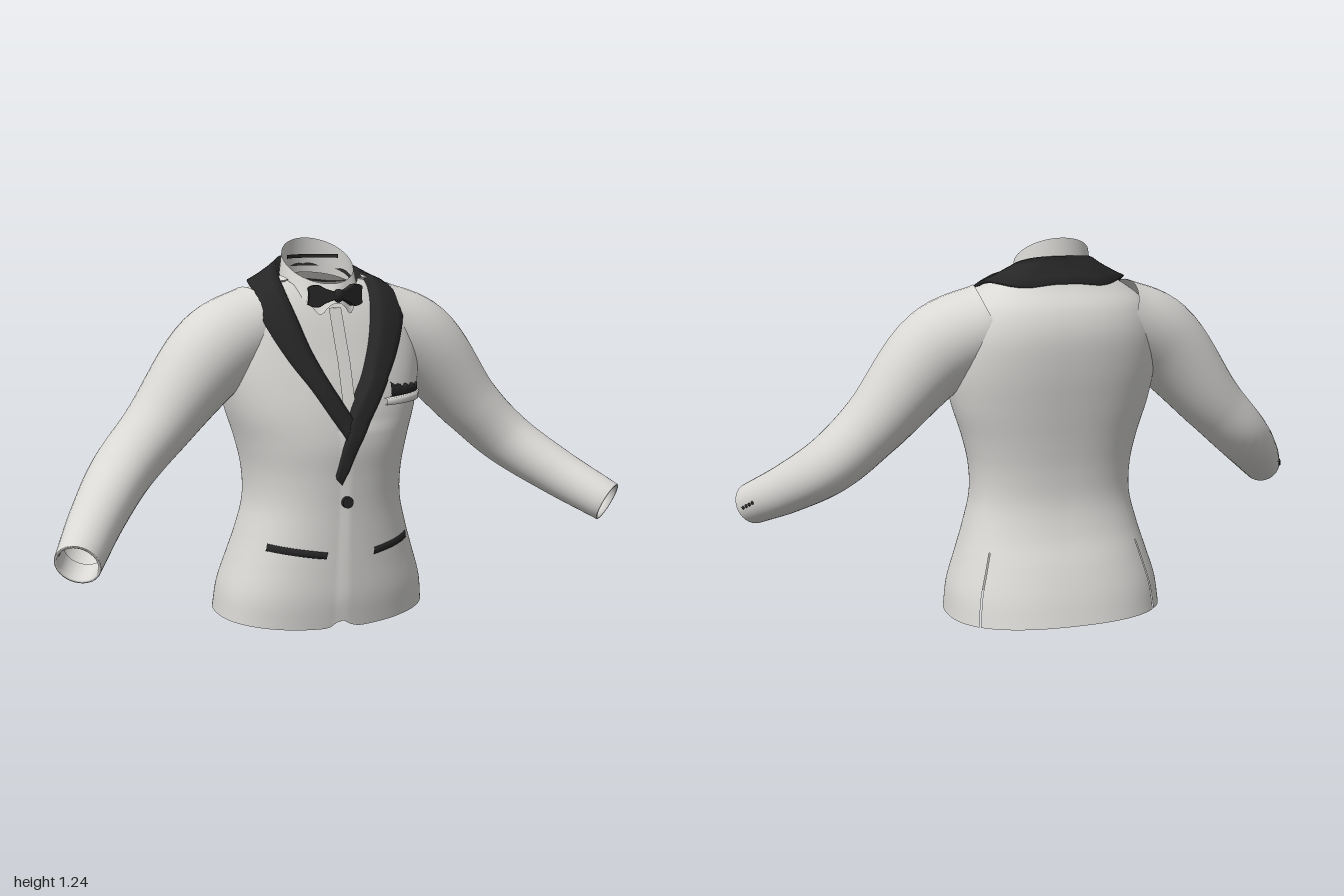
import * as THREE from 'three';
import { mergeVertices } from 'three/addons/utils/BufferGeometryUtils.js';

const V = (x, y, z) => new THREE.Vector3(x, y, z);

// Grid surface from fn(i, j) -> Vector3; skip(i, j) leaves out a cell
function loft(rows, cols, fn, skip = () => false) {
  const pos = [], idx = [];
  for (let i = 0; i <= rows; i++)
    for (let j = 0; j <= cols; j++) pos.push(...fn(i, j).toArray());
  for (let i = 0; i < rows; i++)
    for (let j = 0; j < cols; j++) {
      if (skip(i, j)) continue;
      const a = i * (cols + 1) + j, b = a + cols + 1;
      idx.push(a, b, a + 1, b, b + 1, a + 1);
    }
  const g = new THREE.BufferGeometry();
  g.setAttribute('position', new THREE.Float32BufferAttribute(pos, 3));
  g.setIndex(idx);
  const m = mergeVertices(g, 1e-5);
  m.computeVertexNormals();
  return m;
}

// Squared oval ring; [front y, side y, back y, half width, front z, back z]
function ring([yF, yS, yB, w, zf, zb], a, zc = -0.05, n = 2.3) {
  const c = Math.cos(a), s = Math.sin(a), e = 2 / n;
  const z = zc + Math.sign(s) * Math.abs(s) ** e * (s > 0 ? zf - zc : zc - zb);
  return V(Math.sign(c) * Math.abs(c) ** e * w, yS * c * c + (s > 0 ? yF : yB) * s * s, z);
}

const SECTIONS = [
  [0, 0.02, 0.035, 0.362, 0.182, -0.355],
  [0.1, 0.11, 0.12, 0.35, 0.193, -0.33],
  [0.2, 0.205, 0.21, 0.32, 0.194, -0.295],
  [0.3, 0.3, 0.3, 0.29, 0.194, -0.255],
  [0.4, 0.4, 0.4, 0.266, 0.195, -0.23],
  [0.5, 0.5, 0.5, 0.268, 0.2, -0.23],
  [0.6, 0.6, 0.6, 0.29, 0.206, -0.242],
  [0.7, 0.71, 0.72, 0.325, 0.194, -0.262],
  [0.8, 0.82, 0.84, 0.345, 0.168, -0.28],
  [0.88, 0.93, 0.95, 0.342, 0.14, -0.285],
  [0.95, 1.025, 1.03, 0.31, 0.115, -0.264],
  [1.0, 1.08, 1.09, 0.25, 0.095, -0.222],
  [1.04, 1.115, 1.13, 0.185, 0.075, -0.2],
  [1.06, 1.13, 1.155, 0.14, 0.06, -0.182],
];

// Lapel edges from the back of the neck to the front closure
const OUTER = [[0, 1.1, -0.21], [0.14, 1.105, -0.2], [0.23, 1.115, -0.11], [0.246, 1.078, -0.015],
  [0.23, 0.97, 0.07], [0.188, 0.87, 0.13], [0.128, 0.78, 0.17], [0.01, 0.61, 0.205], [-0.04, 0.483, 0.2]];
const INNER = [[0, 1.19, -0.185], [0.09, 1.185, -0.165], [0.138, 1.155, -0.085], [0.145, 1.085, 0],
  [0.134, 1.005, 0.065], [0.113, 0.91, 0.12], [0.072, 0.815, 0.16], [-0.015, 0.67, 0.195], [-0.06, 0.505, 0.2]];

// Sleeve: centre, in-plane radius, depth radius
const SLEEVE = [[0.2, 0.98, -0.08, 0.13, 0.145], [0.37, 0.893, -0.052, 0.142, 0.14],
  [0.575, 0.668, -0.035, 0.106, 0.118], [0.7, 0.545, 0.0, 0.094, 0.112],
  [0.82, 0.44, 0.125, 0.082, 0.09], [0.935, 0.345, 0.292, 0.07, 0.07]];

export function createModel() {
  const group = new THREE.Group();
  const cloth = new THREE.MeshStandardMaterial({ color: 0xd9d8d5, side: THREE.DoubleSide });
  cloth.name = 'ivory cloth';
  const satin = new THREE.MeshStandardMaterial({ color: 0x262626, side: THREE.DoubleSide });
  satin.name = 'black satin';
  const add = (name, geo, mat) => {
    const m = new THREE.Mesh(geo, mat);
    m.name = name;
    group.add(m);
    return m;
  };

  // Jacket body with overlapping front edge, rounded hem corners and two narrow side vents
  const interp = new THREE.CubicInterpolant(SECTIONS.map((_, i) => i), SECTIONS.flat(), 6);
  const COLS = 128, ROWS = 78;
  const pinch = { 77: 0.3, 78: -0.3, 114: 0.3, 115: -0.3 };
  const body = add('jacketBody', loft(ROWS, COLS, (i, j) => {
    const v = i / 6, col = (j % COLS) + (pinch[j] || 0);
    const p = ring([...interp.evaluate(v)], (col / COLS) * Math.PI * 2);
    if (p.z > 0 && p.y < 0.66) {
      if (p.x > -0.035) p.z += 0.008 * Math.max(0, 1 - (p.x + 0.035) / 0.25);
      p.y += 0.025 * Math.exp(-(((p.x + 0.03) / 0.03) ** 2)) * Math.max(0, 1 - v);
    }
    return p;
  }, (i, j) => i < 15 && (j === 114 || j === 77)), cloth);

  // Projection onto the body
  const caster = new THREE.Raycaster();
  const drape = (x, y, off) => {
    caster.set(V(x, y, 2), V(0, 0, -1));
    const hit = caster.intersectObject(body)[0];
    return V(x, y, (hit ? hit.point.z : 0) + off);
  };
  const core = V(0, 0.85, -0.05);
  const pushOut = (p, off) => {
    const dir = p.clone().sub(core), d = dir.length();
    dir.normalize();
    caster.set(core, dir);
    const hit = caster.intersectObject(body).pop();
    return core.clone().addScaledVector(dir, Math.max(d - 0.008, hit ? hit.distance : 0) + off);
  };
  // Draped four-cornered panel with turned-in edges
  const panel = (name, [a, b, c, d], off, mat, top = () => 0) => {
    const nx = 16, ny = 4;
    add(name, loft(ny, nx, (i, j) => {
      const u = j / nx, v = Math.min(1, Math.max(0, (i - 1) / (ny - 2)));
      const x = (a[0] + (b[0] - a[0]) * u) * (1 - v) + (d[0] + (c[0] - d[0]) * u) * v;
      const y = (a[1] + (b[1] - a[1]) * u) * (1 - v) + (d[1] + (c[1] - d[1]) * u) * v + top(j) * v;
      return drape(x, y, i === 0 || i === ny ? -0.004 : off);
    }), mat);
  };

  // Shawl lapels and collar, the left one crossing over at the closure
  for (const side of [1, -1]) {
    const trim = (pts) => new THREE.CatmullRomCurve3(
      (side > 0 ? pts : pts.slice(0, -1)).map(([x, y, z]) => V(x * side, y, z)));
    const inner = trim(INNER), outer = trim(OUTER);
    const across = [0, 0, 0.25, 0.5, 0.75, 1, 1];
    const lift = [-0.032, 0.009, 0.01, 0.01, 0.009, 0.008, -0.006];
    add(side > 0 ? 'leftLapel' : 'rightLapel', loft(56, 6, (i, j) => pushOut(
      inner.getPoint(i / 56).lerp(outer.getPoint(i / 56), across[j]),
      lift[j] + (side > 0 && j > 0 && i > 40 ? 0.004 : 0))), satin);
  }

  // Hip pockets with their inner bags, breast pocket and folded square
  for (const off of [0.005, -0.007]) {
    panel('rightHipPocket', [[-0.26, 0.262], [-0.09, 0.237], [-0.085, 0.258], [-0.255, 0.285]], off, satin);
    panel('leftHipPocket', [[0.078, 0.237], [0.24, 0.258], [0.24, 0.28], [0.08, 0.258]], off, satin);
  }
  panel('breastPocketWelt', [[0.125, 0.722], [0.298, 0.722], [0.3, 0.75], [0.125, 0.742]], 0.02, cloth);
  panel('pocketSquare', [[0.15, 0.746], [0.285, 0.75], [0.285, 0.768], [0.152, 0.776]], 0.013, satin,
    (j) => (j < 4 ? 0.016 - j * 0.004 : j % 4 < 2 ? 0.008 : 0));

  // Shirt placket and front button
  panel('shirtPlacket', [[-0.022, 0.69], [0.022, 0.69], [0.022, 1.03], [-0.022, 1.03]], -0.012, cloth);
  const button = add('frontButton', new THREE.CylinderGeometry(0.019, 0.019, 0.012, 20), satin);
  button.position.copy(drape(-0.022, 0.42, 0.004));
  button.rotation.x = Math.PI / 2;

  // Shirt front set back behind the lapels
  const bp = body.geometry.attributes.position;
  for (let k = 0; k < bp.count; k++) {
    const y = bp.getY(k), half = Math.min(0.165, (y - 0.66) * 0.42 + 0.03);
    if (y > 0.66 && bp.getZ(k) > 0 && Math.abs(bp.getX(k)) < half) bp.setZ(k, bp.getZ(k) - 0.025);
  }
  body.geometry.computeVertexNormals();

  // Shirt collar: evenly tilted band with two points
  const low = [1.045, 1.1, 1.13, 0.132, 0.085, -0.175], high = [1.105, 1.19, 1.245, 0.12, 0.045, -0.165];
  add('shirtCollar', loft(6, 96, (i, j) => {
    const t = i / 6, s = low.map((v, k) => v + (high[k] - v) * t);
    const p = ring(s, ((j % 96) / 48) * Math.PI, -0.06, 2);
    p.y = s[0] + (s[2] - s[0]) * ((s[4] - p.z) / (s[4] - s[5]));
    if (p.z > 0) p.y -= 0.04 * (1 - t) * Math.exp(-(((Math.abs(p.x) - 0.055) / 0.025) ** 2));
    return p;
  }), cloth);
  const strap = add('collarStrap',
    new THREE.CylinderGeometry(0.105, 0.105, 0.012, 24, 1, true, Math.PI - 1.1, 2.2), satin);
  strap.position.set(0, 1.185, -0.048);

  // Bow tie: two swept-back wings and a knot
  const wing = new THREE.Shape();
  wing.moveTo(0, 0.008);
  wing.quadraticCurveTo(0.035, 0.014, 0.06, 0.03);
  wing.quadraticCurveTo(0.085, 0.034, 0.096, 0.024);
  wing.quadraticCurveTo(0.09, 0, 0.096, -0.026);
  wing.quadraticCurveTo(0.08, -0.036, 0.06, -0.032);
  wing.quadraticCurveTo(0.035, -0.014, 0, -0.008);
  for (const side of [1, -1]) {
    const g = new THREE.ExtrudeGeometry(wing, { depth: 0.016, bevelSize: 0.003, bevelThickness: 0.004, bevelSegments: 2 });
    g.translate(0, 0, -0.008);
    if (side < 0) g.rotateY(Math.PI);
    const m = add('bowTieWing', g, satin);
    m.position.set(0, 1.07, 0.093);
    m.rotation.y = side * 0.3;
  }
  const knot = add('bowTieKnot', new THREE.SphereGeometry(0.02, 16, 12), satin);
  knot.position.set(0, 1.07, 0.094);
  knot.scale.set(0.9, 1.1, 0.7);

  // Sleeves with turned-in cuffs and a row of cuff buttons
  const path = new THREE.CatmullRomCurve3(SLEEVE.map(([x, y, z]) => V(x, y, z)));
  const radii = new THREE.CatmullRomCurve3(SLEEVE.map(([, , , a, b], i) => V(a, b, i * 0.15)));
  const steps = [];
  for (let i = 0; i <= 40; i++) steps.push([i / 40, 1]);
  steps.push([1, 0.96], [1, 0.88], [0.985, 0.84], [0.93, 0.84]);
  for (const side of [1, -1]) {
    const sleeve = add(side > 0 ? 'leftSleeve' : 'rightSleeve', loft(steps.length - 1, 36, (i, j) => {
      const [t, k] = steps[i], a = ((j % 36) / 18) * Math.PI;
      const T = path.getTangent(t), A = T.clone().cross(V(0, 0, 1)).normalize(), B = T.clone().cross(A);
      const r = radii.getPoint(t);
      const p = path.getPoint(t).addScaledVector(A, Math.cos(a) * r.x * k).addScaledVector(B, Math.sin(a) * r.y * k);
      p.x *= side;
      return p;
    }), cloth);
    for (let k = 0; k < 4; k++) {
      caster.set(V(2 * side, 0.352 + k * 0.009, 0.22 - k * 0.016), V(-side, 0, 0));
      const hit = caster.intersectObject(sleeve)[0];
      if (!hit) continue;
      const b = add('cuffButton', new THREE.SphereGeometry(0.006, 10, 8), satin);
      b.position.copy(hit.point);
    }
  }
  return group;
}
